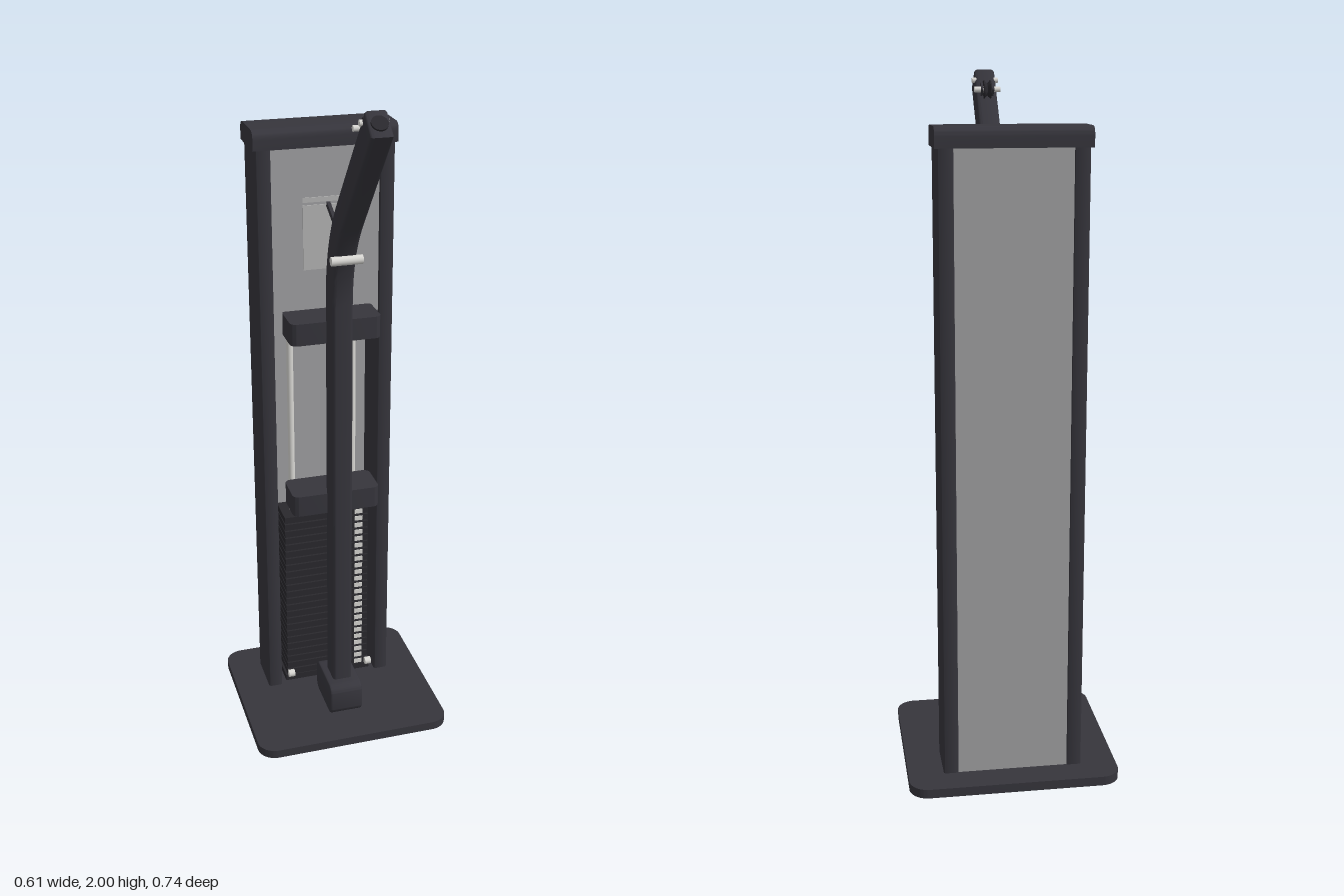
import * as THREE from 'three';
import { toCreasedNormals } from 'three/addons/utils/BufferGeometryUtils.js';

const mat = (name, color) => {
  const m = new THREE.MeshStandardMaterial({ color });
  m.name = name;
  return m;
};

// Rectangle with rounded corners, centred on the origin
function roundRect(w, h, r) {
  const s = new THREE.Shape(), x = w / 2, y = h / 2;
  s.moveTo(-x + r, -y);
  s.lineTo(x - r, -y).absarc(x - r, -y + r, r, -Math.PI / 2, 0);
  s.lineTo(x, y - r).absarc(x - r, y - r, r, 0, Math.PI / 2);
  s.lineTo(-x + r, y).absarc(-x + r, y - r, r, Math.PI / 2, Math.PI);
  s.lineTo(-x, -y + r).absarc(-x + r, -y + r, r, Math.PI, Math.PI * 1.5);
  return s;
}

// Extrusion centred on its depth, with optional rounded edges
function extrude(shape, depth, bevel = 0) {
  const g = new THREE.ExtrudeGeometry(shape, {
    depth: depth - 2 * bevel, curveSegments: 8,
    bevelEnabled: bevel > 0, bevelSize: bevel, bevelThickness: bevel,
    bevelOffset: -bevel, bevelSegments: 3,
  });
  g.translate(0, 0, -depth / 2 + bevel);
  return g;
}
// Side profile drawn in (z, y), extruded across x
const acrossX = (shape, width, bevel) =>
  toCreasedNormals(extrude(shape, width, bevel).rotateY(-Math.PI / 2), 0.6);
// Plan drawn in (x, z), extruded up y
const upY = (shape, height, bevel) =>
  toCreasedNormals(extrude(shape, height, bevel).rotateX(-Math.PI / 2), 0.6);

export function createModel() {
  const group = new THREE.Group();
  const frame = mat('charcoal frame', 0x36353c);
  const iron = mat('dark iron', 0x29282d);
  const panel = mat('grey panel', 0xa0a0a2);
  const placard = mat('pale placard', 0xb4b4b4);
  const steel = mat('light steel', 0xd8d7d3);

  const add = (name, geo, material, x = 0, y = 0, z = 0) => {
    const m = new THREE.Mesh(geo, material);
    m.name = name;
    m.position.set(x, y, z);
    group.add(m);
    return m;
  };
  const box = (name, w, h, d, material, x, y, z) =>
    add(name, new THREE.BoxGeometry(w, h, d), material, x, y, z);
  const pin = (name, r, len, material, x, y, z) =>
    add(name, new THREE.CylinderGeometry(r, r, len, 20).rotateZ(Math.PI / 2), material, x, y, z);

  // Base plate
  add('basePlate', upY(roundRect(0.61, 0.555, 0.055), 0.027), frame, 0, 0.0135, -0.0925);

  // Housing: columns, cap and panels
  for (const s of [-1, 1])
    add('column', upY(roundRect(0.044, 0.143, 0.008), 1.79), frame, s * 0.18, 0.92, -0.2145);
  const cap = new THREE.Shape();
  cap.moveTo(-0.294, 1.805);
  cap.lineTo(-0.139, 1.805);
  cap.lineTo(-0.139, 1.835);
  cap.quadraticCurveTo(-0.14, 1.86, -0.165, 1.86);
  cap.lineTo(-0.268, 1.86);
  cap.quadraticCurveTo(-0.293, 1.86, -0.294, 1.835);
  add('topCap', acrossX(cap, 0.418), frame);
  box('backPanel', 0.318, 1.78, 0.008, panel, 0, 0.917, -0.279);
  box('upperFrontPanel', 0.318, 0.53, 0.008, panel, 0, 1.542, -0.155);
  box('placard', 0.136, 0.19, 0.004, placard, 0, 1.545, -0.15);
  box('placardHeader', 0.136, 0.014, 0.004, placard, 0, 1.655, -0.15);

  // Guide rods and weight stack
  for (const s of [-1, 1])
    add('guideRod', new THREE.CylinderGeometry(0.01, 0.01, 1.74, 16), steel, s * 0.098, 0.9, -0.21);
  const count = 24, pitch = 0.595 / count;
  for (let i = 0; i < count; i++) {
    const y = 0.05 + (i + 0.5) * pitch;
    box('weightPlate', 0.272, pitch * 0.82, 0.105, iron, 0, y, -0.208);
    box('weightLabel', 0.026, pitch * 0.6, 0.004, steel, 0.104, y, -0.155);
  }
  box('stackCore', 0.25, 0.59, 0.085, iron, 0, 0.345, -0.208);
  box('stackTop', 0.18, 0.018, 0.06, steel, 0, 0.653, -0.2);
  box('stackFoot', 0.285, 0.02, 0.11, iron, 0, 0.042, -0.208);
  for (const s of [-1, 1]) pin('footRoller', 0.012, 0.02, steel, s * 0.13, 0.075, -0.13);

  // Brackets joining the mast to the housing
  for (const y of [0.742, 1.296])
    add('bracket', upY(roundRect(0.27, 0.12, 0.02), 0.066), frame, 0, y, -0.098);

  // Foot of the mast
  add('mastFoot', acrossX(roundRect(0.175, 0.105, 0.028), 0.104, 0.006), frame, 0, 0.083, -0.017);

  // Bent mast: offset a centre line to both sides for its side profile
  const path = new THREE.CurvePath();
  const p = [[-0.015, 0.08], [-0.015, 1.39], [-0.015, 1.55], [0.087, 1.673], [0.335, 1.97]]
    .map(([z, y]) => new THREE.Vector2(z, y));
  path.add(new THREE.LineCurve(p[0], p[1]));
  path.add(new THREE.QuadraticBezierCurve(p[1], p[2], p[3]));
  path.add(new THREE.LineCurve(p[3], p[4]));
  const left = [], right = [];
  path.curves.forEach((c, k) => {
    const n = k === 1 ? 14 : 1;
    for (let i = k ? 1 : 0; i <= n; i++) {
      const c0 = c.getPoint(i / n), t = c.getTangent(i / n);
      const off = new THREE.Vector2(t.y, -t.x).multiplyScalar(0.0405);
      right.push(c0.clone().add(off));
      left.unshift(c0.clone().sub(off));
    }
  });
  add('mast', acrossX(new THREE.Shape([...right, ...left]), 0.061, 0.01), frame);
  const tip = add('mastEndCap', new THREE.CylinderGeometry(0.022, 0.022, 0.008, 24), iron, 0, 1.971, 0.336);
  tip.rotation.x = Math.atan2(0.248, 0.297);

  // Slim hook behind the bend
  const hook = box('rearHook', 0.01, 0.016, 0.14, frame, 0, 1.617, -0.063);
  hook.rotation.x = Math.atan2(0.055, 0.115);

  // Cross pins and grooved top pulley
  pin('lowerPin', 0.013, 0.09, steel, 0, 1.54, 0.06);
  pin('pulleyPin', 0.008, 0.076, steel, 0, 1.94, 0.237);
  pin('upperPin', 0.008, 0.076, steel, 0, 1.965, 0.29);
  const groove = [[0, -0.011], [0.026, -0.011], [0.026, -0.008], [0.017, 0], [0.026, 0.008], [0.026, 0.011], [0, 0.011]]
    .map(([r, y]) => new THREE.Vector2(r, y));
  const pulley = toCreasedNormals(new THREE.LatheGeometry(groove, 28).rotateZ(Math.PI / 2), 0.5);
  add('topPulley', pulley, iron, 0, 1.94, 0.24);
  for (const s of [-1, 1]) {
    const ear = box('pulleyEar', 0.006, 0.045, 0.03, frame, s * 0.016, 1.937, 0.247);
    ear.rotation.x = -0.87;
  }
  return group;
}
